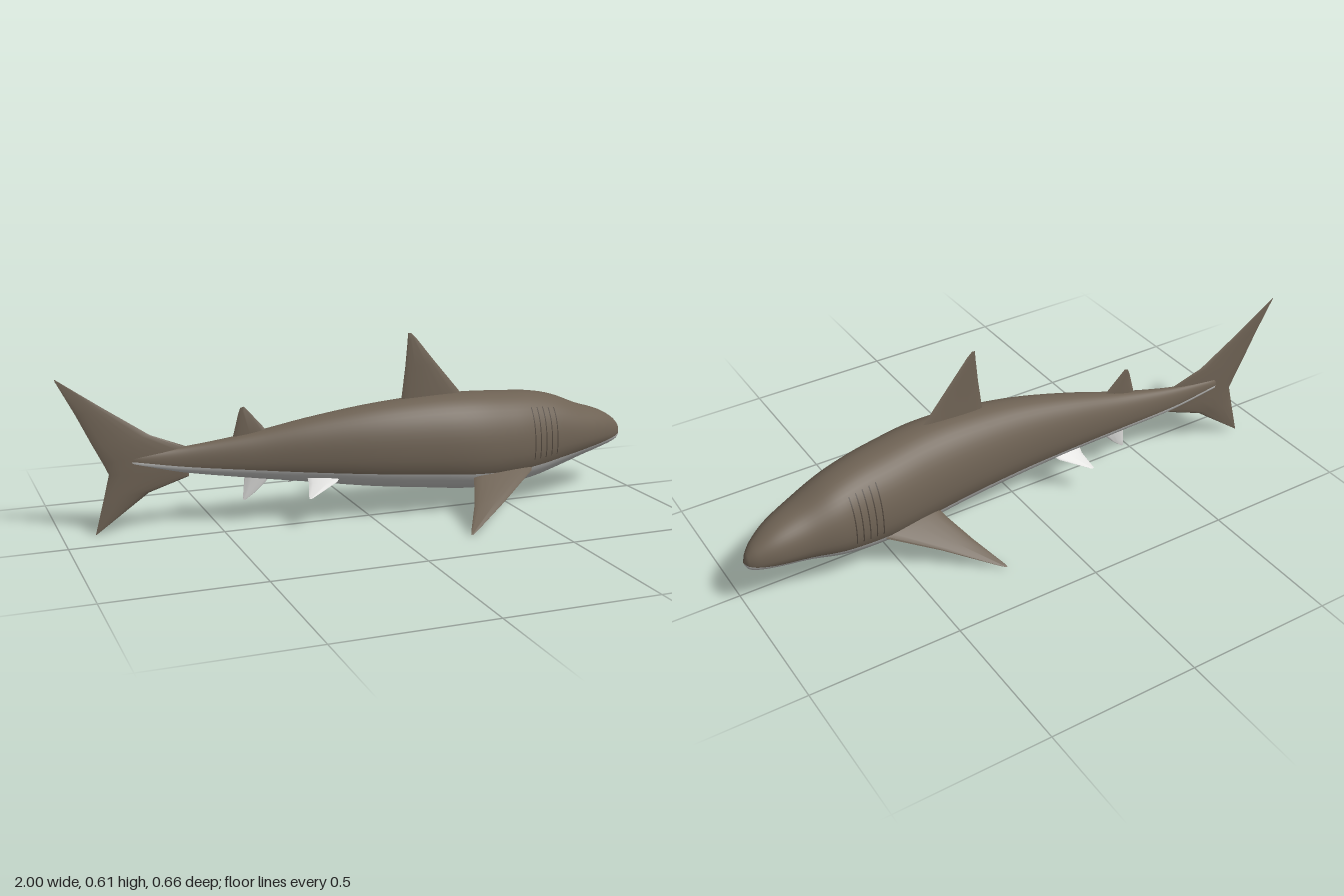
import * as THREE from 'three';
import { toCreasedNormals } from 'three/addons/utils/BufferGeometryUtils.js';

const mat = (name, color) => {
  const m = new THREE.MeshStandardMaterial({ color });
  m.name = name;
  return m;
};
const V = (x, y, z) => new THREE.Vector3(x, y, z);

// Body stations: x, top, bottom, colour border, z of the +z side, z of the -z side
const stations = [
  [-0.77, 0.26, 0.222, 0.238, -0.098, -0.122],
  [-0.6, 0.275, 0.188, 0.212, -0.072, -0.12],
  [-0.4, 0.307, 0.16, 0.195, -0.018, -0.112],
  [-0.2, 0.35, 0.135, 0.18, 0.04, -0.108],
  [0, 0.383, 0.108, 0.167, 0.09, -0.108],
  [0.2, 0.4, 0.086, 0.154, 0.122, -0.118],
  [0.35, 0.401, 0.07, 0.143, 0.133, -0.13],
  [0.5, 0.39, 0.068, 0.139, 0.12, -0.15],
  [0.6, 0.38, 0.077, 0.145, 0.1, -0.158],
  [0.7, 0.358, 0.1, 0.158, 0.078, -0.164],
  [0.8, 0.318, 0.128, 0.17, 0.05, -0.15],
  [0.9, 0.284, 0.148, 0.18, 0.008, -0.138],
  [0.96, 0.25, 0.16, 0.186, -0.03, -0.12],
  [0.99, 0.22, 0.172, 0.19, -0.06, -0.1],
  [1, 0.194, 0.193, 0.1935, -0.079, -0.081],
];

// Smooth interpolation of one station column at x
function sample(x, k) {
  const S = stations, n = S.length - 1;
  let i = 0;
  while (i < n - 1 && x > S[i + 1][0]) i++;
  const slope = (j) => {
    const a = S[Math.max(j - 1, 0)], b = S[Math.min(j + 1, n)];
    return (b[k] - a[k]) / (b[0] - a[0]);
  };
  const d = S[i + 1][0] - S[i][0], t = (x - S[i][0]) / d, u = 1 - t;
  return S[i][k] * (1 + 2 * t) * u * u + S[i + 1][k] * t * t * (3 - 2 * t)
    + d * (slope(i) * t * u * u - slope(i + 1) * t * t * u);
}
const spine = (x) => (sample(x, 4) + sample(x, 5)) / 2;

// Cross-section of the body: centre height, upper and lower radius, half width
function section(x) {
  const top = sample(x, 1), bottom = sample(x, 2);
  const yc = bottom + (top - bottom) * 0.43;
  return { yc, up: top - yc, down: yc - bottom, w: (sample(x, 4) - sample(x, 5)) / 2, zc: spine(x) };
}
const ROUND = 0.92;
const power = (v) => Math.sign(v) * Math.abs(v) ** ROUND;
function surface(x, a, lift = 0) {
  const { yc, up, down, w, zc } = section(x), s = Math.sin(a);
  return V(x, yc + power(s) * ((s > 0 ? up : down) + lift), zc + power(Math.cos(a)) * (w + lift));
}

// Grid of rows of points; triangles run column by column so groups can split them
function grid(rows, closed) {
  const n = rows[0].length, cols = closed ? n : n - 1, index = [];
  for (let c = 0; c < cols; c++) {
    for (let r = 0; r < rows.length - 1; r++) {
      const a = r * n + c, b = r * n + (c + 1) % n;
      index.push(a, a + n, b, b, a + n, b + n);
    }
  }
  const geo = new THREE.BufferGeometry().setFromPoints(rows.flat());
  geo.setIndex(index);
  geo.computeVertexNormals();
  return geo;
}
function split(geo, cols, total) {
  const count = geo.index.count, cut = count * cols / total;
  geo.addGroup(0, cut, 0);
  geo.addGroup(cut, count - cut, 1);
  return geo;
}

// Fin of lens sections; each row is [leading point, trailing point, half thickness]
function finGeometry(rows) {
  const K = 8, last = rows[rows.length - 1];
  const chord = V(0, 0, 0);
  rows.forEach(([a, b]) => chord.add(b).sub(a));
  const n = last[0].clone().sub(rows[0][0]).cross(chord).normalize();
  const rings = rows.map(([a, b, h]) => Array.from({ length: 2 * K }, (_, i) => {
    const t = i / K * Math.PI;
    return a.clone().lerp(b, (1 - Math.cos(t)) / 2).addScaledVector(n, Math.sin(t) * h);
  }));
  return toCreasedNormals(split(grid(rings, true), K, 2 * K), 0.6);
}

export function createModel() {
  const model = new THREE.Group();
  const brown = mat('back brown', 0x6e6254);
  const pale = mat('belly grey', 0xc4c4c2);
  const white = mat('small fin white', 0xdcdcda);
  const dark = mat('gill dark brown', 0x4a4138);
  const add = (name, geo, material) => {
    const mesh = new THREE.Mesh(geo, material);
    mesh.name = name;
    model.add(mesh);
  };

  // Body: back columns run above the colour border, belly columns below it
  const BACK = 32, BELLY = 20, ROWS = 90, rings = [];
  for (let i = 0; i <= ROWS; i++) {
    const x = -0.77 + 1.77 * Math.sin(i / ROWS * Math.PI / 2);
    const { yc, up, down } = section(x), d = sample(x, 3) - yc;
    const f = Math.max(-0.98, Math.min(0.98, d / (d > 0 ? up : down)));
    const a0 = Math.asin(Math.sign(f) * Math.abs(f) ** (1 / ROUND));
    const ring = [];
    for (let c = 0; c < BACK; c++) ring.push(surface(x, a0 + (Math.PI - 2 * a0) * c / BACK));
    for (let c = 0; c < BELLY; c++) ring.push(surface(x, Math.PI - a0 + (Math.PI + 2 * a0) * c / BELLY));
    rings.push(ring);
  }
  // Close the tail stump
  rings.unshift(rings[0].map(() => V(-0.785, 0.241, -0.11)));
  add('body', split(grid(rings, true), BACK, BACK + BELLY), [brown, pale]);

  // Upright fins follow the spine: rows of [lead x, lead y, trail x, trail y, half thickness]
  const upright = (name, rows, material) => add(name, finGeometry(rows.map(([ax, ay, bx, by, h]) => {
    const z = (x) => x < -0.77 ? -0.11 + (x + 0.77) * 0.035 : spine(x);
    return [V(ax, ay, z(ax)), V(bx, by, z(bx)), h];
  })), [material, material]);
  upright('dorsalFin', [
    [0.36, 0.36, 0.11, 0.36, 0.014], [0.33, 0.4, 0.115, 0.395, 0.011], [0.235, 0.512, 0.128, 0.5, 0.006],
    [0.165, 0.598, 0.136, 0.59, 0.003], [0.147, 0.615, 0.137, 0.615, 0.001]], brown);
  upright('secondDorsalFin', [
    [-0.32, 0.295, -0.45, 0.28, 0.008], [-0.34, 0.318, -0.445, 0.302, 0.006],
    [-0.4, 0.388, -0.427, 0.375, 0.002], [-0.408, 0.397, -0.42, 0.394, 0.001]], brown);
  upright('analFin', [
    [-0.32, 0.18, -0.42, 0.19, 0.007], [-0.335, 0.15, -0.412, 0.16, 0.005],
    [-0.375, 0.11, -0.417, 0.105, 0.002], [-0.41, 0.083, -0.418, 0.085, 0.001]], white);
  upright('tailFin', [
    [-1, 0.52, -0.998, 0.512, 0.001], [-0.855, 0.418, -0.94, 0.4, 0.003], [-0.71, 0.32, -0.893, 0.3, 0.006],
    [-0.59, 0.273, -0.862, 0.238, 0.009], [-0.59, 0.175, -0.845, 0.2, 0.009],
    [-0.72, 0.13, -0.862, 0.13, 0.006], [-0.89, 0.006, -0.895, 0.004, 0.001]], brown);

  // Paired fins: brown above and pale below, mirrored about the spine
  for (const side of [1, -1]) {
    const label = side > 0 ? 'right' : 'left';
    const z0 = -0.016;
    add(label + 'PectoralFin', finGeometry([
      [V(0.58, 0.155, z0 + side * 0.08), V(0.35, 0.155, z0 + side * 0.08), 0.013],
      [V(0.55, 0.133, z0 + side * 0.125), V(0.335, 0.131, z0 + side * 0.125), 0.011],
      [V(0.4, 0.075, side * 0.22), V(0.285, 0.071, side * 0.22), 0.006],
      [V(0.25, 0.015, side * 0.318), V(0.228, 0.014, side * 0.318), 0.002],
      [V(0.23, 0.008, side * 0.33), V(0.223, 0.008, side * 0.33), 0.001],
    ]), side > 0 ? [pale, brown] : [brown, pale]);
    add(label + 'PelvicFin', finGeometry([
      [V(-0.11, 0.16, spine(-0.11) + side * 0.05), V(-0.22, 0.16, spine(-0.22) + side * 0.045), 0.006],
      [V(-0.13, 0.145, spine(-0.13) + side * 0.07), V(-0.22, 0.143, spine(-0.22) + side * 0.06), 0.004],
      [V(-0.225, 0.106, -0.038 + side * 0.112), V(-0.236, 0.105, -0.038 + side * 0.112), 0.001],
    ]), [white, white]);

    // Gill slits: thin strips lying on the flank
    for (let g = 0; g < 5; g++) {
      const x = 0.565 + g * 0.024;
      const strip = [-0.002, 0.002].map((dx) => Array.from({ length: 13 }, (_, i) => {
        const a = -0.25 + 1.1 * i / 12;
        return surface(x + dx, side > 0 ? a : Math.PI - 0.85 + 1.1 * i / 12, 0.0015);
      }));
      add(label + 'GillSlit' + (g + 1), grid(strip, false), dark);
    }
  }
  return model;
}
